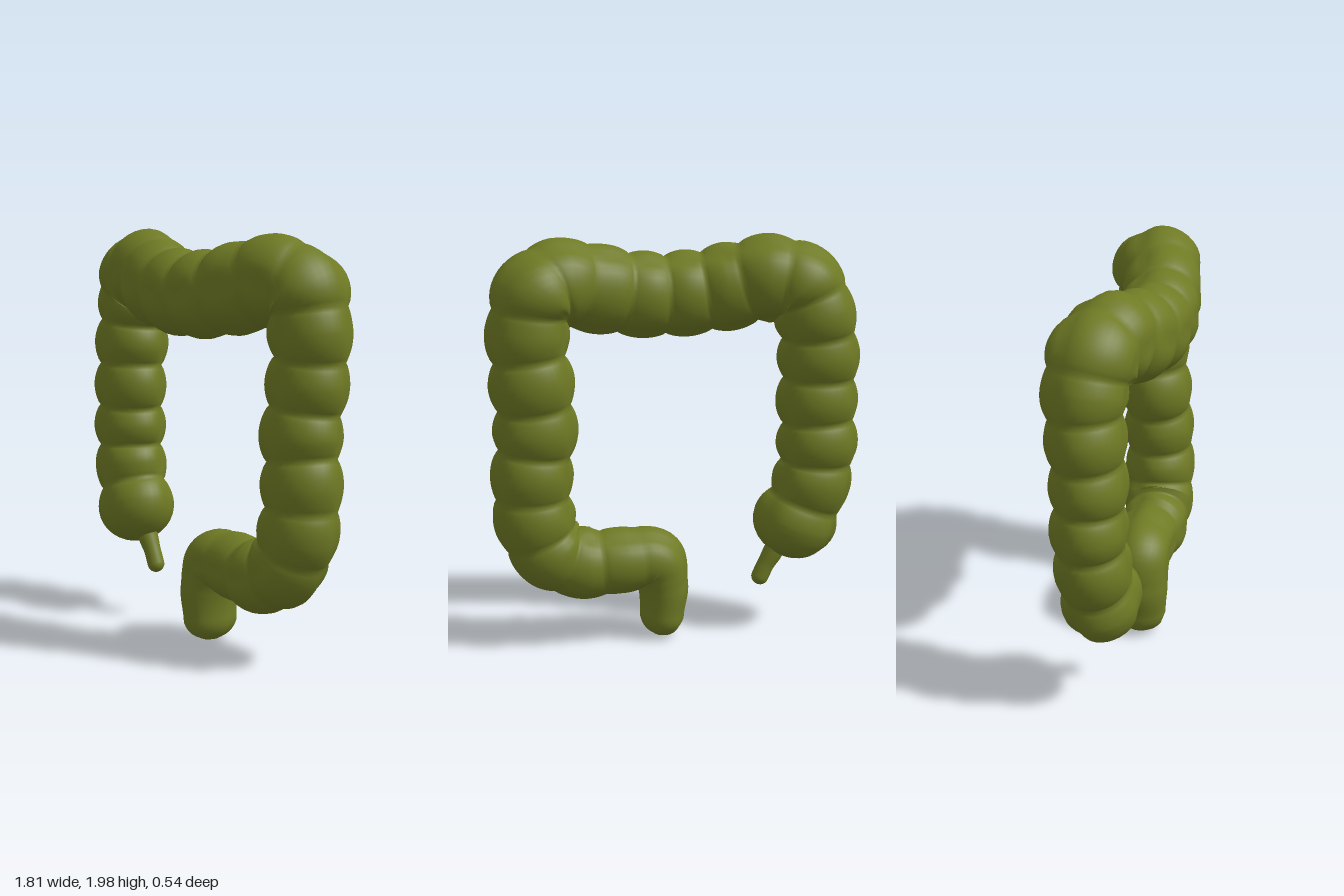
import * as THREE from 'three';

const SIDES = 36;

// Sweeps a closed, round-ended tube through stations [x, y, z, radius, depthRadius, pinch].
// Every station is the middle of one pouch; the wall narrows halfway to the next one.
function sweep(stations, steps, bandDepth) {
  const n = stations.length - 1;
  const path = new THREE.CatmullRomCurve3(stations.map(s => new THREE.Vector3(s[0], s[1], s[2])));
  const zAxis = new THREE.Vector3(0, 0, 1);
  const mix = (u, k) => {
    const i = Math.min(Math.floor(u), n - 1);
    const f = u - i, s = f * f * (3 - 2 * f);
    return THREE.MathUtils.lerp(stations[i][k], stations[i + 1][k], s);
  };

  const rings = [];
  const CAP = 8;
  for (let k = CAP; k > 0; k--) rings.push({ u: 0, cap: -k / CAP });
  for (let k = 0; k <= n * steps; k++) rings.push({ u: k / steps, cap: 0 });
  for (let k = 1; k <= CAP; k++) rings.push({ u: n, cap: k / CAP });

  const pos = [], index = [];
  for (const { u, cap } of rings) {
    const c = path.getPoint(u / n);
    const t = path.getTangent(u / n);
    const side = new THREE.Vector3().crossVectors(t, zAxis).normalize();
    const front = new THREE.Vector3().crossVectors(side, t);
    const r = mix(u, 3), rz = mix(u, 4);
    const shrink = Math.cos(cap * Math.PI / 2);
    c.addScaledVector(t, Math.sin(cap * Math.PI / 2) * Math.min(r, rz) * 0.97);
    const waist = 1 - Math.pow(Math.abs(Math.cos(Math.PI * u)), 0.75);
    const pouch = 1 - mix(u, 5) * waist;
    for (let j = 0; j < SIDES; j++) {
      const a = j / SIDES * Math.PI * 2;
      // three flat lengthwise bands: front, and two towards the back
      let band = 0;
      for (const b of [90, 210, 330]) {
        const d = Math.acos(THREE.MathUtils.clamp(Math.cos(a - b * Math.PI / 180), -1, 1));
        band = Math.max(band, Math.exp(-((d / 0.27) ** 2)));
      }
      const f = THREE.MathUtils.lerp(pouch, 1 - bandDepth - 0.3 * (1 - pouch), band) * shrink;
      const p = c.clone()
        .addScaledVector(side, Math.cos(a) * r * f)
        .addScaledVector(front, Math.sin(a) * rz * f);
      pos.push(p.x, p.y, p.z);
    }
  }
  for (let i = 0; i < rings.length - 1; i++) {
    for (let j = 0; j < SIDES; j++) {
      const a = i * SIDES + j, b = i * SIDES + (j + 1) % SIDES;
      index.push(a, a + SIDES, b, b, a + SIDES, b + SIDES);
    }
  }
  const g = new THREE.BufferGeometry();
  g.setAttribute('position', new THREE.Float32BufferAttribute(pos, 3));
  g.setIndex(index);
  g.computeVertexNormals();
  return g;
}

export function createModel() {
  const model = new THREE.Group();
  model.name = 'largeIntestine';
  const olive = new THREE.MeshStandardMaterial({ color: 0x6f7a24 });
  olive.name = 'olive';

  const add = (name, geometry) => {
    const mesh = new THREE.Mesh(geometry, olive);
    mesh.name = name;
    model.add(mesh);
  };

  const colon = [
    // blind pouch and rising limb
    [-0.61, 0.57, -0.02, 0.215, 0.19, 0.16],
    [-0.685, 0.78, -0.04, 0.20, 0.18, 0.18],
    [-0.705, 0.98, -0.05, 0.205, 0.18, 0.18],
    [-0.70, 1.19, -0.05, 0.205, 0.18, 0.18],
    [-0.70, 1.41, -0.06, 0.205, 0.185, 0.18],
    [-0.675, 1.61, -0.07, 0.20, 0.195, 0.14],
    // first bend and crossing limb
    [-0.61, 1.75, -0.05, 0.205, 0.21, 0.08],
    [-0.46, 1.785, -0.01, 0.215, 0.21, 0.12],
    [-0.27, 1.74, 0.05, 0.215, 0.20, 0.13],
    [-0.07, 1.71, 0.08, 0.21, 0.195, 0.13],
    [0.13, 1.71, 0.08, 0.21, 0.195, 0.13],
    [0.34, 1.745, 0.05, 0.215, 0.195, 0.12],
    [0.55, 1.785, -0.01, 0.215, 0.21, 0.06],
    // second bend and falling limb
    [0.665, 1.74, -0.06, 0.205, 0.22, 0.10],
    [0.705, 1.56, -0.07, 0.20, 0.19, 0.18],
    [0.69, 1.33, -0.07, 0.205, 0.185, 0.18],
    [0.675, 1.10, -0.05, 0.205, 0.185, 0.18],
    [0.695, 0.88, -0.04, 0.20, 0.185, 0.17],
    [0.685, 0.66, -0.03, 0.20, 0.185, 0.12],
    // lower bend towards the outlet
    [0.61, 0.49, -0.02, 0.19, 0.185, 0.10],
    [0.45, 0.415, -0.01, 0.18, 0.175, 0.12],
    [0.26, 0.42, -0.02, 0.165, 0.165, 0.06],
    [0.10, 0.415, -0.01, 0.15, 0.16, 0.02],
    [0.055, 0.28, 0, 0.125, 0.15, 0],
    [0.06, 0.125, 0, 0.11, 0.14, 0],
  ];
  add('colon', sweep(colon, 12, 0.09));

  // small finger hanging below the blind pouch
  const appendix = [
    [-0.55, 0.53, -0.02, 0.06, 0.06, 0],
    [-0.50, 0.42, -0.02, 0.05, 0.05, 0],
    [-0.46, 0.35, -0.02, 0.043, 0.043, 0],
    [-0.433, 0.292, -0.02, 0.043, 0.043, 0],
  ];
  add('appendix', sweep(appendix, 5, 0));

  return model;
}
